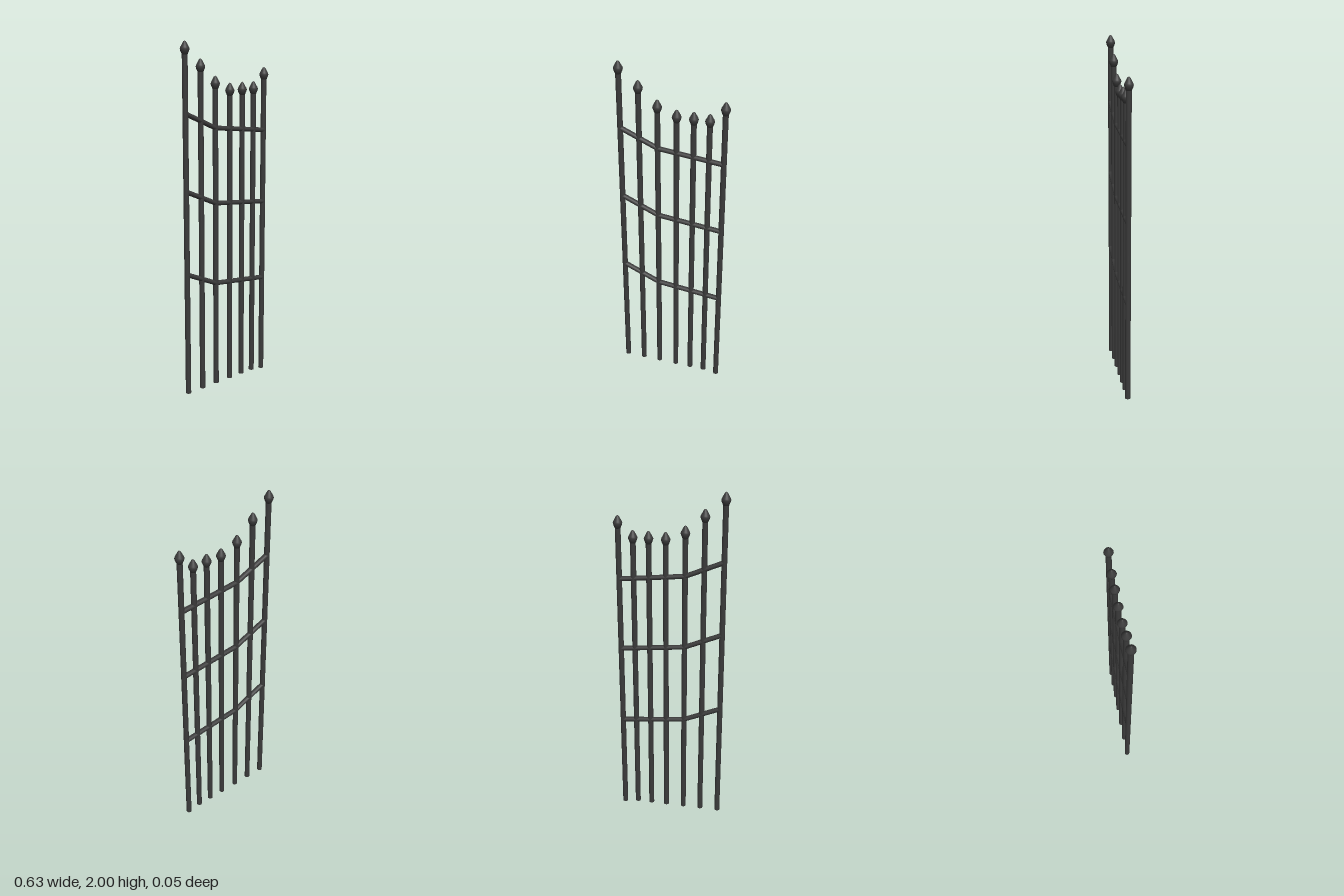
import * as THREE from 'three';

export function createModel() {
  const group = new THREE.Group();
  const iron = new THREE.MeshStandardMaterial({ color: 0x3a3a3a });
  const add = (geometry, name) => {
    const mesh = new THREE.Mesh(geometry, iron);
    mesh.name = name;
    group.add(mesh);
    return mesh;
  };

  // Upright bars: x, bottom, tip
  const bars = [
    [-0.292, 0.012, 2.0], [-0.185, 0.012, 1.905], [-0.08, 0.012, 1.81],
    [0.027, 0.012, 1.768], [0.121, 0.012, 1.768], [0.208, 0.012, 1.768],
    [0.29, 0, 1.845],
  ];
  // Spear-shaped finial profile, measured down from the tip
  const profile = [[0, -0.073], [0.015, -0.073], [0.023, -0.054], [0.026, -0.043],
    [0.023, -0.034], [0.008, -0.006], [0, 0]].map(([r, y]) => new THREE.Vector2(r, y));
  const finialGeometry = new THREE.LatheGeometry(profile, 24);

  for (const [x, bottom, tip] of bars) {
    const height = tip - 0.06 - bottom;
    add(new THREE.CylinderGeometry(0.0155, 0.0155, height, 20), 'uprightBar')
      .position.set(x, bottom + height / 2, 0);
    add(finialGeometry, 'finial').position.set(x, tip, 0);
  }

  // Cross rails: each bends at the third bar, following the slope of the tops
  const path = [[-0.29, 0], [-0.08, -0.092], [0.29, -0.133]];
  for (const y of [1.617, 1.193, 0.722]) {
    for (let i = 0; i < 2; i++) {
      const [x0, y0] = path[i], [x1, y1] = path[i + 1];
      const rail = add(new THREE.CylinderGeometry(1, 1, Math.hypot(x1 - x0, y1 - y0), 16), 'crossRail');
      rail.scale.set(0.0135, 1, 0.0155);
      rail.position.set((x0 + x1) / 2, y + (y0 + y1) / 2, 0);
      rail.rotation.z = Math.atan2(y1 - y0, x1 - x0) - Math.PI / 2;
    }
    // Rounded joint at the bend
    const joint = add(new THREE.SphereGeometry(0.0135, 16, 12), 'railJoint');
    joint.position.set(path[1][0], y + path[1][1], 0);
  }
  return group;
}
